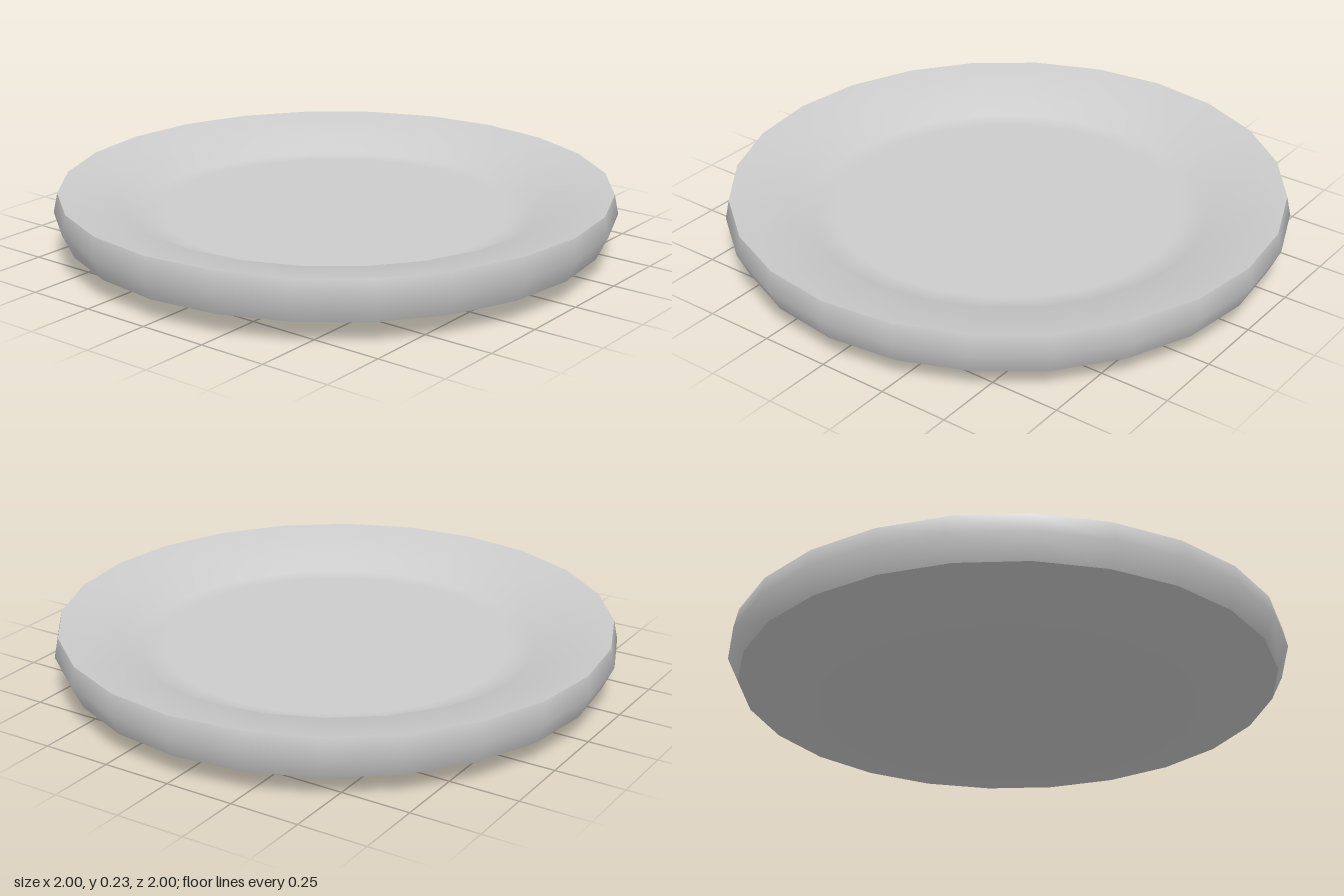
import * as THREE from 'three';

const SIDES = 24;

export function createModel() {
  const plate = new THREE.Group();
  plate.name = 'plate';
  const grey = new THREE.MeshStandardMaterial({ color: 0xcccccc });
  grey.name = 'light grey';

  // Turns a [radius, height] profile; creases fall between separate parts
  const turn = (name, profile) => {
    const points = profile.map(([r, y]) => new THREE.Vector2(r, y));
    const mesh = new THREE.Mesh(new THREE.LatheGeometry(points, SIDES), grey);
    mesh.name = name;
    plate.add(mesh);
  };

  // Flat foot and shallow flare beneath
  turn('foot', [[0, 0], [0.68, 0]]);
  turn('underside', [[0.68, 0], [0.96, 0.08]]);
  // Bulging outer edge
  turn('outerEdge', [[0.96, 0.08], [1, 0.165], [0.985, 0.235]]);
  // Gently sloping lip that rolls down into the well
  turn('lipAndWell', [[0.985, 0.235], [0.77, 0.197], [0.7, 0.14], [0.62, 0.138], [0, 0.138]]);

  return plate;
}
